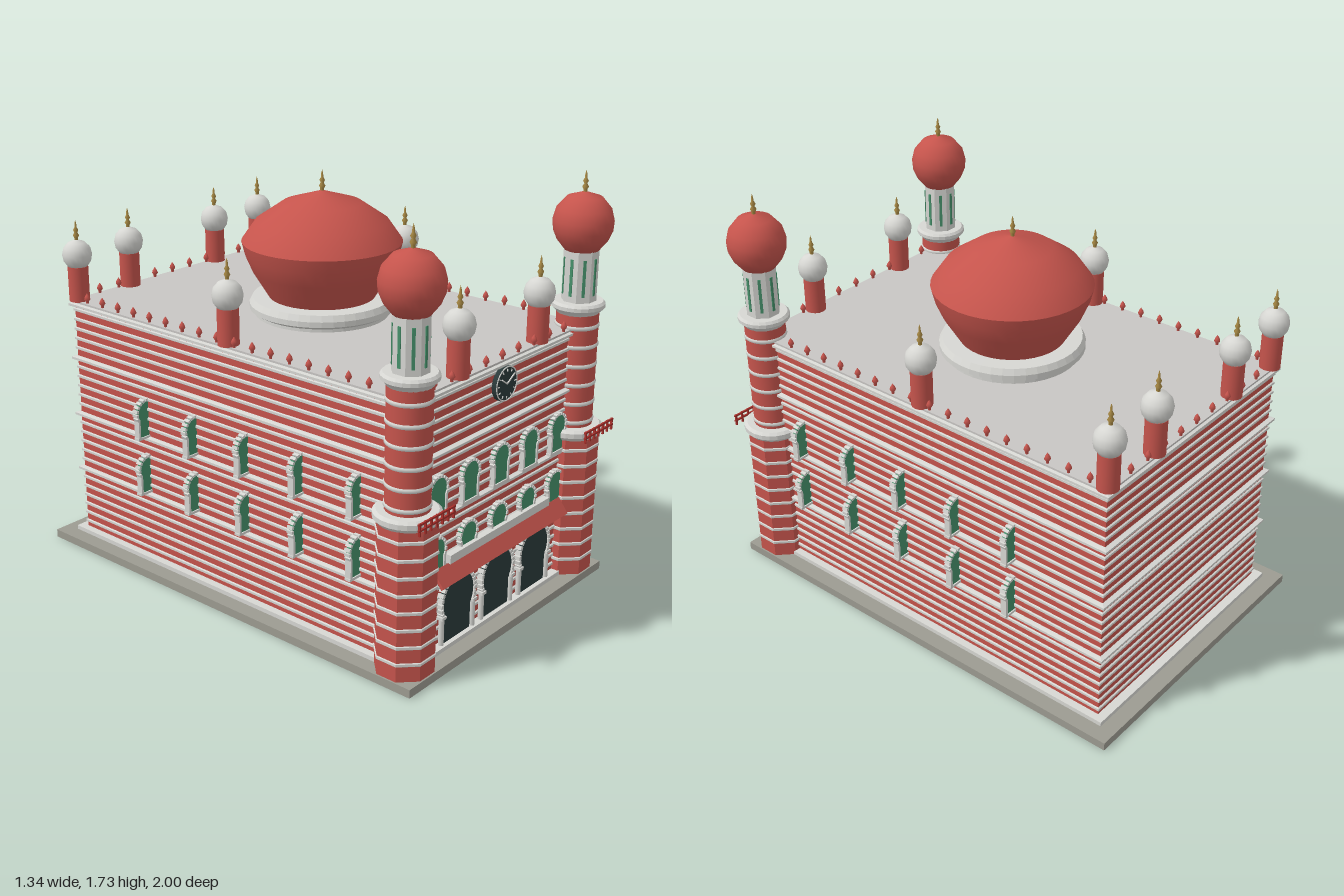
import * as THREE from 'three';

const mat = (name, color, flat = false) => {
  const m = new THREE.MeshStandardMaterial({ color, flatShading: flat });
  m.name = name;
  return m;
};
const red = mat('brick red', 0xc5544c);
const white = mat('pale stone', 0xd6d6d2);
const roofGrey = mat('roof grey', 0xc8c5c3);
const baseGrey = mat('plinth grey', 0x9c9b91);
const green = mat('window green', 0x45906a);
const dark = mat('doorway dark', 0x2b3a3a);
const gold = mat('finial gold', 0xa98a45);
const railRed = mat('railing red', 0xa82f2a);

const ZC = -0.01; // the building sits slightly back because of the railings

function add(parent, name, geo, material, x = 0, y = 0, z = 0) {
  const m = new THREE.Mesh(geo, material);
  m.name = name;
  m.position.set(x, y, z);
  parent.add(m);
  return m;
}
const box = (p, name, m, w, h, d, x, y, z) => add(p, name, new THREE.BoxGeometry(w, h, d), m, x, y, z);

// Lathe from [radius, y] pairs; flat gives hard facets with a flat side to the front
function lathe(points, sides, flat = false) {
  const pts = points.map(([r, y]) => new THREE.Vector2(r, y));
  let g = new THREE.LatheGeometry(pts, sides, flat ? Math.PI / sides : 0);
  if (flat) {
    g = g.toNonIndexed();
    g.computeVertexNormals();
  }
  return g;
}

// Rectangular moulding running round a block: profile is [offset, y]
function moulding(hx, hz, profile) {
  const g = lathe(profile.map(([o, y]) => [Math.SQRT2 * (1 + o), y]), 4, true);
  const p = g.attributes.position;
  for (let i = 0; i < p.count; i++) {
    const x = p.getX(i), z = p.getZ(i);
    p.setX(i, Math.sign(x) * (hx + Math.abs(x) - 1));
    p.setZ(i, Math.sign(z) * (hz + Math.abs(z) - 1));
  }
  g.computeVertexNormals();
  return g;
}
const bead = (o, h) => [[-0.004, -h], [o, -h * 0.4], [o, h * 0.5], [-0.004, h]];

// Horseshoe arch plate standing on y = 0, centred on z = 0
function archPlate(jamb, r, spring, depth) {
  const a = Math.acos(jamb / r);
  const s = new THREE.Shape();
  s.moveTo(-jamb, 0);
  s.lineTo(jamb, 0);
  s.absarc(0, spring, r, -a, Math.PI + a, false);
  s.closePath();
  const g = new THREE.ExtrudeGeometry(s, { depth, bevelEnabled: false, curveSegments: 20 });
  return g.translate(0, 0, -depth / 2);
}

// Ring of stone blocks around an arch head
function voussoirs(p, r, spring, size, depth, n) {
  for (let i = 0; i < n; i++) {
    const a = -0.4 + (Math.PI + 0.8) * i / (n - 1);
    const b = box(p, 'archStone', white, size, size * 1.15, depth, Math.cos(a) * r, spring + Math.sin(a) * r, 0);
    b.rotation.z = a;
  }
}

function windowUnit(p, x, y, z) {
  const w = new THREE.Group();
  w.name = 'archedWindow';
  w.position.set(x, y, z);
  add(w, 'windowPane', archPlate(0.041, 0.052, 0.11, 0.016), green);
  voussoirs(w, 0.054, 0.11, 0.011, 0.027, 13);
  for (const s of [-1, 1]) box(w, 'windowJamb', white, 0.01, 0.085, 0.027, s * 0.046, 0.0425, 0);
  box(w, 'windowSill', white, 0.11, 0.01, 0.027, 0, 0.002, 0);
  p.add(w);
}

const finialGeo = lathe([[0.008, -0.01], [0.008, 0.01], [0.013, 0.02], [0.006, 0.032], [0.011, 0.042],
  [0.005, 0.054], [0.004, 0.07], [0, 0.085]], 10);

function turret(p, x, z) {
  const t = new THREE.Group();
  t.name = 'roofTurret';
  t.position.set(x, 1.1, z);
  add(t, 'turretShaft', new THREE.CylinderGeometry(0.043, 0.043, 0.15, 16), red, 0, 0.075);
  add(t, 'turretDome', lathe([[0, 0.148], [0.042, 0.15], [0.057, 0.172], [0.062, 0.2], [0.055, 0.228], [0.036, 0.25], [0, 0.264]], 20), white);
  add(t, 'finial', finialGeo, gold, 0, 0.26);
  p.add(t);
}

function tower(p, x, z) {
  const t = new THREE.Group();
  t.name = 'cornerTower';
  t.position.set(x, 0, z);
  const R = 0.108 / Math.cos(Math.PI / 8);
  add(t, 'lowerShaft', lathe([[R, 0.035], [R, 0.65]], 8, true), red);
  for (let i = 0; i < 8; i++)
    add(t, 'lowerRing', lathe(bead(0.004, 0.011).map(([o, y]) => [R + o, y]), 8, true), white, 0, 0.105 + i * 0.07);
  add(t, 'lowerCollar', lathe([[0.1, 0.63], [0.115, 0.64], [0.128, 0.655], [0.128, 0.675], [0.115, 0.685], [0, 0.685]], 24, true), white);
  add(t, 'upperShaft', new THREE.CylinderGeometry(0.085, 0.085, 0.5, 24), red, 0, 0.93);
  for (let i = 0; i < 6; i++)
    add(t, 'upperRing', lathe(bead(0.004, 0.012).map(([o, y]) => [0.085 + o, y]), 24), white, 0, 0.705 + i * 0.08);
  add(t, 'upperCollar', lathe([[0.084, 1.155], [0.092, 1.165], [0.107, 1.18], [0.107, 1.195], [0.098, 1.205], [0, 1.205]], 24, true), white);
  // lantern with green slits
  add(t, 'lantern', lathe([[0.07, 1.2], [0.07, 1.415], [0, 1.415]], 8, true), white);
  for (let i = 0; i < 8; i++) {
    const s = new THREE.Group();
    s.rotation.y = i * Math.PI / 4;
    box(s, 'lanternSlit', green, 0.012, 0.15, 0.006, 0, 1.305, 0.065);
    t.add(s);
  }
  add(t, 'towerDome', lathe([[0, 1.408], [0.068, 1.41], [0.1, 1.45], [0.117, 1.49], [0.12, 1.53], [0.108, 1.575], [0.07, 1.62], [0, 1.643]], 28), red);
  add(t, 'finial', finialGeo, gold, 0, 1.64);
  // straight railing on the front of the collar
  for (const y of [0.672, 0.695]) box(t, 'rail', railRed, 0.215, 0.007, 0.008, 0, y, 0.131);
  for (let i = 0; i < 7; i++) box(t, 'railPost', railRed, 0.007, 0.05, 0.008, -0.1 + i * 0.0333, 0.675, 0.131);
  p.add(t);
}

export function createModel() {
  const g = new THREE.Group();
  g.name = 'domedHall';

  // Plinth
  box(g, 'plinth', baseGrey, 1.32, 0.035, 1.98, 0, 0.0175, -0.01);
  box(g, 'plinthStep', white, 1.19, 0.018, 1.85, 0, 0.044, ZC);

  // Striped walls with ledges at each floor
  const body = new THREE.Group();
  body.name = 'walls';
  body.position.z = ZC;
  g.add(body);
  const hx = 0.563, hz = 0.888;
  box(body, 'wallBlock', red, hx * 2, 1.047, hz * 2, 0, 0.5735, 0);
  for (let i = 0; i < 24; i++) add(body, 'wallBand', moulding(hx, hz, bead(0.006, 0.0105)), white, 0, 0.0785 + i * 0.0427);
  for (const y of [0.335, 0.59, 0.845, 1.083]) add(body, 'floorLedge', moulding(hx, hz, bead(0.019, 0.011)), white, 0, y);
  box(body, 'roof', roofGrey, 1.145, 0.008, 1.795, 0, 1.098, 0);

  // Windows on the front, and cross-set windows along both sides
  const front = ZC + hz;
  for (const y of [0.352, 0.6]) {
    for (let i = -2; i <= 2; i++) {
      windowUnit(g, i * 0.2, y, front + 0.008);
      for (const s of [-1, 1]) windowUnit(g, s * 0.572, y, 0.09 + i * 0.283);
    }
  }

  // Entrance arches
  for (let i = -1; i <= 1; i++) {
    const e = new THREE.Group();
    e.name = 'entranceArch';
    e.position.set(i * 0.26, 0.055, front + 0.012);
    add(e, 'doorway', archPlate(0.082, 0.1, 0.165, 0.016), dark);
    voussoirs(e, 0.106, 0.165, 0.014, 0.03, 21);
    for (const s of [-1, 1]) {
      add(e, 'entranceColumn', new THREE.CylinderGeometry(0.011, 0.011, 0.115, 10), white, s * 0.1, 0.0575, 0.006);
      box(e, 'columnCapital', white, 0.028, 0.012, 0.028, s * 0.1, 0.116, 0.006);
    }
    g.add(e);
  }

  // Sloping canopy and balcony over the entrance
  const canopy = box(g, 'canopy', red, 0.85, 0.075, 0.012, 0, 0.36, front + 0.042);
  canopy.rotation.x = -0.65;
  box(g, 'balcony', white, 0.67, 0.035, 0.035, 0, 0.408, front + 0.016);

  // Clock
  const clock = new THREE.Group();
  clock.name = 'clock';
  clock.position.set(0, 1.01, front + 0.015);
  add(clock, 'clockFace', new THREE.CylinderGeometry(0.07, 0.07, 0.02, 32).rotateX(Math.PI / 2), dark);
  add(clock, 'clockRim', new THREE.TorusGeometry(0.067, 0.003, 6, 32), white, 0, 0, 0.01);
  for (let i = 0; i < 12; i++) {
    const a = i * Math.PI / 6;
    box(clock, 'hourMark', white, 0.01, 0.004, 0.004, Math.cos(a) * 0.054, Math.sin(a) * 0.054, 0.011).rotation.z = a;
  }
  for (const [a, l] of [[0.56, 0.055], [2.55, 0.042]])
    box(clock, 'clockHand', white, l, 0.005, 0.004, Math.cos(a) * l / 2, Math.sin(a) * l / 2, 0.012).rotation.z = a;
  g.add(clock);

  // Main dome on its drum
  const dome = new THREE.Group();
  dome.name = 'mainDome';
  dome.position.z = ZC;
  add(dome, 'drum', lathe([[0.275, 1.1], [0.275, 1.115], [0.297, 1.128], [0.297, 1.15], [0.284, 1.174], [0.2, 1.176]], 40, true), white);
  add(dome, 'domeBelly', lathe([[0.215, 1.172], [0.284, 1.285], [0.312, 1.35], [0.326, 1.405]], 40), red);
  add(dome, 'domeCap', lathe([[0.326, 1.405], [0.27, 1.485], [0.16, 1.56], [0, 1.61]], 40), red);
  add(dome, 'finial', finialGeo, gold, 0, 1.607);
  g.add(dome);

  // Towers and turrets
  for (const s of [-1, 1]) {
    tower(g, s * 0.545, 0.865);
    turret(g, s * 0.26, 0.862);
    turret(g, s * 0.26, -0.887);
    turret(g, s * 0.545, -0.887);
    turret(g, s * 0.545, ZC - 0.002);
  }

  // Spade-shaped parapet ornaments
  const spade = lathe([[0.006, 0], [0.006, 0.01], [0.013, 0.02], [0.009, 0.032], [0, 0.046]], 8);
  for (const s of [-1, 1]) {
    for (let i = 0; i < 17; i++) add(g, 'parapetSpade', spade, red, s * 0.56, 1.1, -0.82 + i * 0.0947);
    for (let i = -4; i <= 4; i++) add(g, 'parapetSpade', spade, red, i * 0.106, 1.1, ZC + s * 0.888);
  }
  return g;
}
